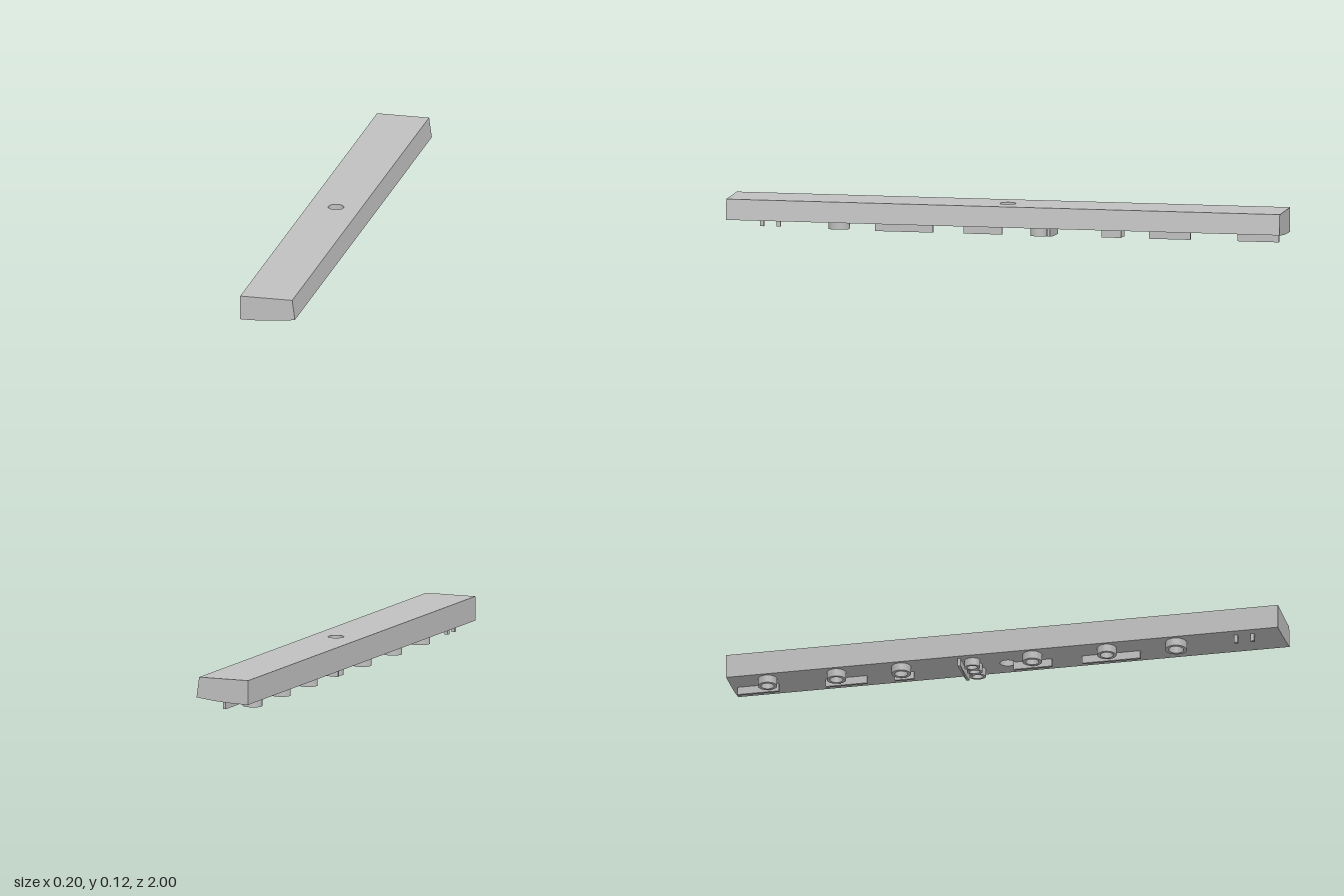
import * as THREE from 'three';
import { toCreasedNormals } from 'three/addons/utils/BufferGeometryUtils.js';

const RELIEF = 0.028;   // how far the raised marks stand out
const MID = 0.05;       // half length of the drilled middle section
const underside = x => 0.031 + 0.07 * x + 0.4 * x * x;

// Plan points [x, z] every few hundredths along a straight edge
function edge(x0, z0, x1, z1, n) {
  return Array.from({ length: n }, (_, i) =>
    new THREE.Vector2(x0 + (x1 - x0) * i / n, -(z0 + (z1 - z0) * i / n)));
}

function rectangle(x0, x1, z0, z1, n) {
  return new THREE.Shape([
    ...edge(x0, z1, x1, z1, n), ...edge(x1, z1, x1, z0, 1),
    ...edge(x1, z0, x0, z0, n), ...edge(x0, z0, x0, z1, 1),
  ]);
}

function ring(x, z, rx, rz, wall = 0.011) {
  const shape = new THREE.Shape();
  shape.absellipse(x, -z, rx, rz, 0, Math.PI * 2, false, 0);
  const hole = new THREE.Path();
  hole.absellipse(x, -z, rx - wall, rz - wall, 0, Math.PI * 2, true, 0);
  shape.holes.push(hole);
  return shape;
}

// Extrude a plan shape upward, then reposition its low and high vertices
function raise(shape, rule) {
  const geo = new THREE.ExtrudeGeometry(shape, { depth: 1, bevelEnabled: false, curveSegments: 20 });
  geo.rotateX(-Math.PI / 2);
  const p = geo.attributes.position;
  for (let i = 0; i < p.count; i++) {
    const [x, y] = rule(p.getX(i), p.getY(i) > 0.5);
    p.setXY(i, x, y);
  }
  return toCreasedNormals(geo, 0.6);
}

export function createModel() {
  const model = new THREE.Group();
  const metal = new THREE.MeshStandardMaterial({ color: 0xc0c0c0 });
  metal.name = 'grey metal';
  const add = (name, geo, parent = model) => {
    const mesh = new THREE.Mesh(geo, metal);
    mesh.name = name;
    parent.add(mesh);
    return mesh;
  };

  // Bar ends: cross-section with a curved underside and one slanted side
  const section = new THREE.Shape();
  section.moveTo(0.09, 0.115);
  section.lineTo(-0.1, 0.115);
  for (let i = 0; i <= 12; i++) {
    const x = -0.1 + 0.2 * i / 12;
    section.lineTo(x, underside(x));
  }
  section.closePath();
  for (const side of [-1, 1]) {
    const geo = new THREE.ExtrudeGeometry(section, { depth: 1 - MID, bevelEnabled: false });
    geo.translate(0, 0, side > 0 ? MID : -1);
    add(side > 0 ? 'frontBar' : 'backBar', toCreasedNormals(geo, 0.3));
  }

  // Drilled middle of the bar
  const middle = rectangle(-0.1, 0.1, -MID, MID, 12);
  const bore = new THREE.Path();
  bore.absarc(0, 0, 0.028, 0, Math.PI * 2, true);
  middle.holes.push(bore);
  add('drilledMiddle', raise(middle, (x, top) =>
    top ? [x > 0.099 ? 0.09 : x, 0.115] : [x, underside(x)]));

  // Raised marks follow the curve of the underside
  const marks = new THREE.Group();
  marks.name = 'raisedMarks';
  model.add(marks);
  const mark = (name, shape) => add(name, raise(shape, (x, top) =>
    [x, underside(x) + (top ? 0.004 : -RELIEF)]), marks);

  // Long ribs, each with a ring beside it: [rib start z, rib end z, ring z]
  for (const [z0, z1, zr] of [
    [-0.98, -0.83, -0.86], [-0.66, -0.51, -0.61], [-0.41, -0.34, -0.375],
    [0.02, 0.16, 0.1], [0.27, 0.48, 0.37],
  ]) {
    mark('rib', rectangle(-0.004, 0.007, z0, z1, 1));
    mark('ring', ring(-0.055, zr, 0.035, 0.034));
  }

  // Cross rib with three small rings next to the bore
  mark('crossRib', rectangle(-0.08, 0.068, -0.165, -0.155, 8));
  mark('ring', ring(0.038, -0.118, 0.029, 0.029, 0.009));
  for (const x of [-0.012, -0.054]) mark('smallRing', ring(x, -0.118, 0.024, 0.028, 0.009));

  // Larger single ring and two studs near the front end
  mark('largeRing', ring(-0.047, 0.62, 0.042, 0.038, 0.012));
  for (const z of [0.84, 0.9]) mark('stud', rectangle(-0.066, -0.054, z - 0.007, z + 0.007, 1));

  return model;
}
